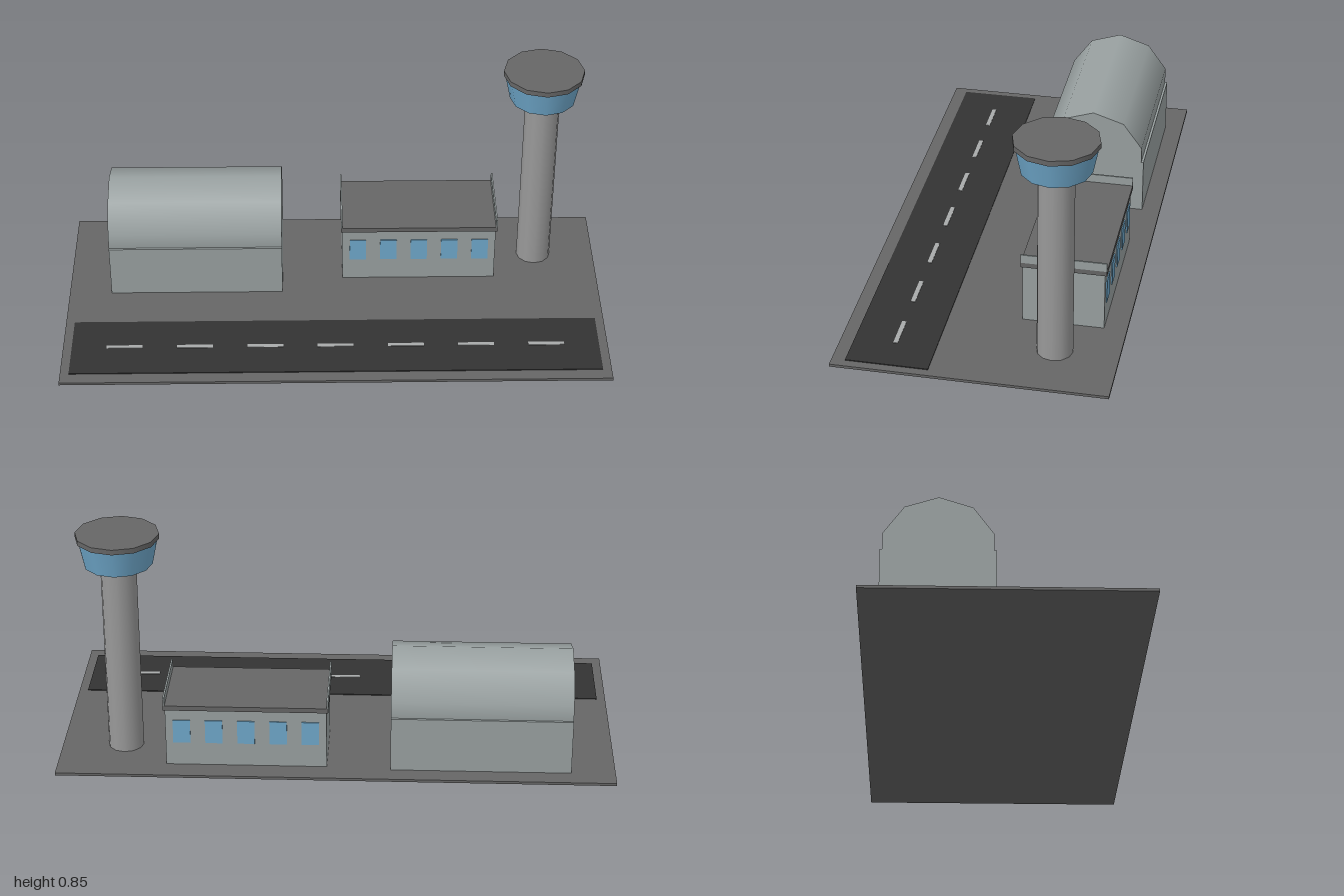
import * as THREE from 'three';

const mat = (name, color) => {
  const m = new THREE.MeshStandardMaterial({ color });
  m.name = name;
  return m;
};

export function createModel() {
  const root = new THREE.Group();
  root.name = 'airfield';

  const apron = mat('apron grey', 0x666666);
  const asphalt = mat('asphalt', 0x333333);
  const marking = mat('runway marking', 0xa8aaaa);
  const wall = mat('wall grey', 0x99a1a1);
  const concrete = mat('concrete', 0x999999);
  const glass = mat('blue glass', 0x6fa8cb);

  // Box given by its lowest and highest corner
  const box = (parent, name, m, x0, x1, y0, y1, z0, z1) => {
    const mesh = new THREE.Mesh(new THREE.BoxGeometry(x1 - x0, y1 - y0, z1 - z0), m);
    mesh.position.set((x0 + x1) / 2, (y0 + y1) / 2, (z0 + z1) / 2);
    mesh.name = name;
    parent.add(mesh);
    return mesh;
  };
  const group = (name) => {
    const g = new THREE.Group();
    g.name = name;
    root.add(g);
    return g;
  };

  // Ground slab and runway with seven dashes
  box(root, 'groundSlab', apron, -1, 1, 0, 0.01, -0.484, 0.484);
  const runway = group('runway');
  box(runway, 'runwaySurface', asphalt, -0.968, 0.968, 0.009, 0.013, 0.145, 0.436);
  for (let i = -3; i <= 3; i++) {
    const x = i * 0.258;
    box(runway, 'runwayDash', marking, x - 0.066, x + 0.066, 0.0125, 0.0148, 0.282, 0.298);
  }

  // Hangar: box with a ten-sided barrel roof
  const hangar = group('hangar');
  box(hangar, 'hangarWalls', wall, -0.842, -0.196, 0.01, 0.216, -0.417, -0.031);
  const barrel = new THREE.CylinderGeometry(0.194, 0.194, 0.646, 10);
  barrel.rotateX(0).rotateY(Math.PI / 2).rotateZ(Math.PI / 2);
  const roof = new THREE.Mesh(barrel, wall);
  roof.name = 'hangarBarrelRoof';
  roof.position.set(-0.519, 0.216, -0.224);
  hangar.add(roof);

  // Terminal with roof slab, end parapets and windows front and back
  const terminal = group('terminal');
  const cz = -0.258;
  box(terminal, 'terminalWalls', wall, 0.032, 0.608, 0.01, 0.231, cz - 0.145, cz + 0.145);
  box(terminal, 'terminalRoof', apron, 0.026, 0.614, 0.231, 0.249, cz - 0.152, cz + 0.152);
  for (const x of [0.026, 0.608]) {
    box(terminal, 'roofParapet', wall, x, x + 0.006, 0.249, 0.281, cz - 0.152, cz + 0.152);
  }
  for (let i = -2; i <= 2; i++) {
    const x = 0.32 + i * 0.115;
    for (const s of [-1, 1]) {
      const z = cz + s * 0.146;
      box(terminal, 'terminalWindow', glass, x - 0.031, x + 0.031, 0.1, 0.19, z - 0.003, z + 0.003);
    }
  }

  // Control tower
  const tower = group('controlTower');
  const ring = (name, m, rTop, rBottom, y0, y1) => {
    const mesh = new THREE.Mesh(new THREE.CylinderGeometry(rTop, rBottom, y1 - y0, 12), m);
    mesh.name = name;
    mesh.position.set(0.77, (y0 + y1) / 2, cz);
    tower.add(mesh);
  };
  ring('towerShaft', concrete, 0.064, 0.064, 0.01, 0.735);
  ring('towerCab', glass, 0.142, 0.122, 0.735, 0.831);
  ring('towerRoof', apron, 0.148, 0.148, 0.831, 0.85);

  return root;
}
